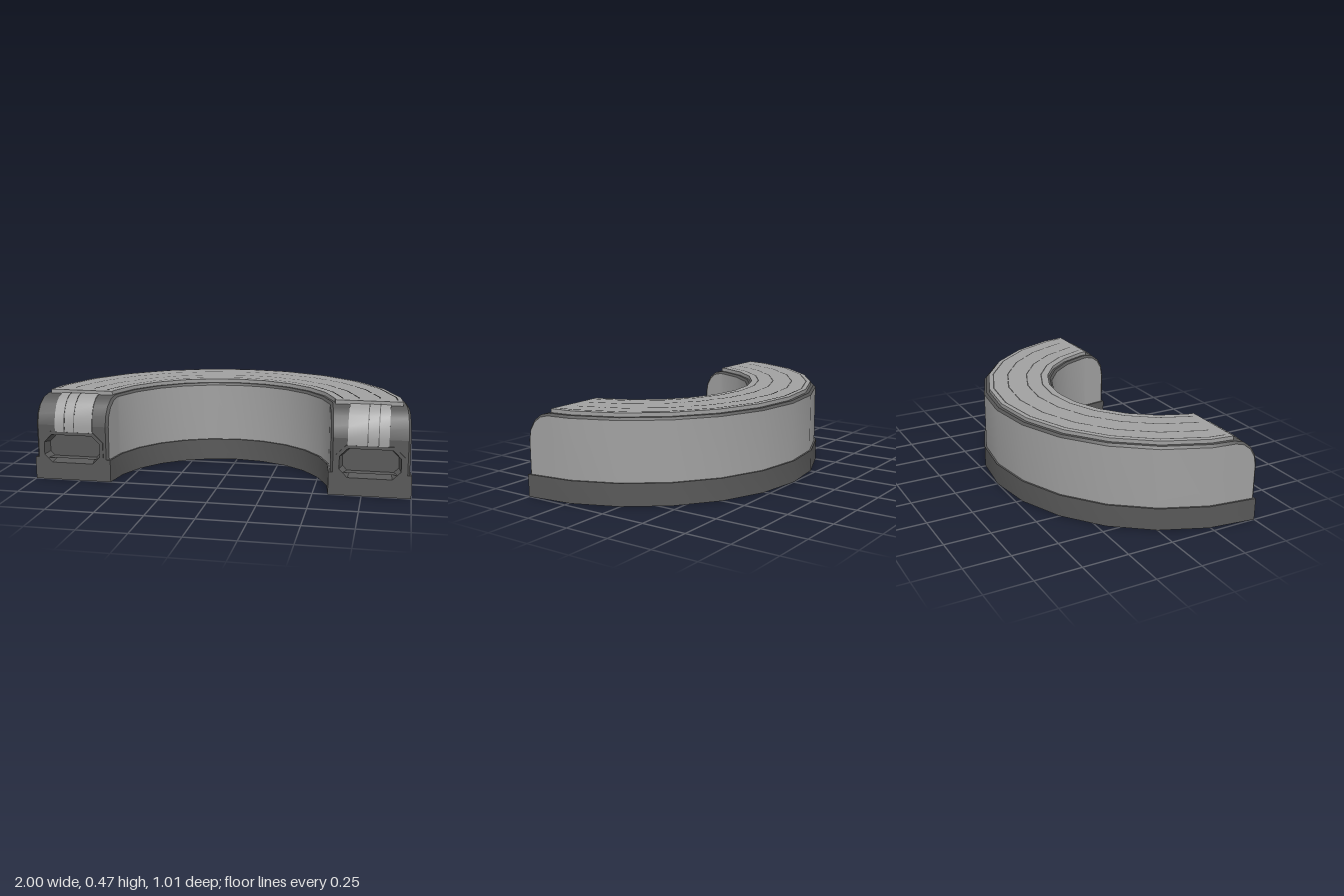
import * as THREE from 'three';
import { toCreasedNormals } from 'three/addons/utils/BufferGeometryUtils.js';

const mat = (name, color) => Object.assign(new THREE.MeshStandardMaterial({ color }), { name });
const STEP = Math.PI / 12;          // half ring made of twelve straight chords
const SLOPE = Math.tan(STEP / 2);   // inward lean of the first chord
const MID = 0.79;                   // middle of each end face

const V = (x, y, z) => new THREE.Vector3(x, y, z);
// Point on the ring at radius r and chord corner k
const atCorner = (k, r, y) => V(r * Math.cos(k * STEP), y, 0.5 - r * Math.sin(k * STEP));
// Point at depth d behind the right (s = -1) or left (s = 1) end face
const atEnd = (s, d, r, y) => V(s * (r - d * SLOPE), y, 0.5 - d);

// Skin over a list of equally long rows of points
function skin(rows) {
  const pos = [];
  for (let i = 0; i + 1 < rows.length; i++) {
    for (let j = 0; j + 1 < rows[i].length; j++) {
      const a = rows[i][j], b = rows[i + 1][j], c = rows[i][j + 1], d = rows[i + 1][j + 1];
      for (const p of [a, b, c, b, d, c]) pos.push(p.x, p.y, p.z);
    }
  }
  const g = new THREE.BufferGeometry();
  g.setAttribute('position', new THREE.Float32BufferAttribute(pos, 3));
  g.computeVertexNormals();
  return toCreasedNormals(g, 0.5);
}

// Rows for a constant [r, y] profile running between two end depths
function ringRows(profile, d) {
  const rows = [profile.map(([r, y]) => atEnd(1, d, r, y))];
  for (let k = 1; k < 12; k++) rows.push(profile.map(([r, y]) => atCorner(k, r, y)));
  rows.push(profile.map(([r, y]) => atEnd(-1, d, r, y)));
  return rows;
}

// Row collapsed to its middle, used to close an end
function collapse(row) {
  const c = V(0, 0, 0);
  const pts = row.slice(0, 4);
  pts.forEach((p) => c.addScaledVector(p, 1 / pts.length));
  return row.map(() => c);
}

// Rectangle with cut corners, counter-clockwise
function octagon(w, h, c) {
  const x = w / 2, y = h / 2;
  return [[x, c - y], [x, y - c], [x - c, y], [c - x, y], [-x, y - c], [-x, c - y], [c - x, -y], [x - c, -y]]
    .map(([a, b]) => new THREE.Vector2(a, b + 0.172));
}

export function createModel() {
  const model = new THREE.Group();
  const light = mat('light grey', 0xa0a0a0);
  const dark = mat('dark grey', 0x585858);
  const seam = mat('seam grey', 0x484848);
  const add = (name, geo, material, parent = model) => {
    const m = new THREE.Mesh(geo, material);
    m.name = name;
    parent.add(m);
    return m;
  };

  // Base band
  add('base', skin(ringRows([[1, 0], [1, 0.12], [0.97, 0.12], [0.61, 0.12], [0.58, 0.12], [0.58, 0], [1, 0]], 0)), dark);

  // Body: walls, chamfered rim and rounded-over ends
  const endRow = (s, phi, floor) => {
    const c = Math.cos(phi), n = Math.sin(phi);
    const dw = 0.13 - 0.118 * c, de = 0.13 - 0.13 * c;
    const yw = floor ? 0.12 : 0.3 + 0.138 * n, ye = floor ? 0.12 : 0.3 + 0.15 * n;
    return [[dw, 0.99, 0.12], [dw, 0.99, yw], [de, 0.978, ye], [de, 0.602, ye], [dw, 0.59, yw], [dw, 0.59, 0.12]]
      .map(([d, r, y]) => atEnd(s, d, r, y));
  };
  const phis = [0, 1, 2, 3, 4].map((i) => (i * Math.PI) / 8);
  const rows = [endRow(1, 0, true), ...phis.map((p) => endRow(1, p))];
  const full = [[0.99, 0.12], [0.99, 0.438], [0.978, 0.45], [0.602, 0.45], [0.59, 0.438], [0.59, 0.12]];
  for (let k = 1; k < 12; k++) rows.push(full.map(([r, y]) => atCorner(k, r, y)));
  rows.push(...phis.slice().reverse().map((p) => endRow(-1, p)), endRow(-1, 0, true));
  const cols = (list, a, b) => skin(list.map((r) => r.slice(a, b)));
  const main = rows.slice(1, -1);
  add('outerWall', cols(main, 0, 2), light);
  add('innerWall', cols(main, 4, 6), light);
  add('rim', cols(main, 1, 5), dark);
  for (const pair of [rows.slice(0, 2), rows.slice(-2)]) {
    add('endCornerOuter', cols(pair, 1, 3), dark);
    add('endCornerInner', cols(pair, 3, 5), dark);
  }

  // Raised top plate
  const plate = ringRows([[0.96, 0.445], [0.96, 0.47], [0.615, 0.47], [0.615, 0.445], [0.96, 0.445]], 0.125);
  add('topPlate', skin([collapse(plate[0]), ...plate, collapse(plate[plate.length - 1])]), light);

  // Seams on the plate: a border loop and two broken inner lines
  const Y = 0.4715, W = 0.004;
  for (const r of [0.935, 0.655]) add('borderSeam', skin(ringRows([[r + W, Y], [r - W, Y]], 0.155)), seam);
  for (const r of [0.85, 0.74]) {
    const line = ringRows([[r + W, Y], [r - W, Y]], 0.155);
    const mix = (a, b, t) => a.map((p, j) => p.clone().lerp(b[j], t));
    for (let k = 1; k < 12; k++) {
      add('brokenSeam', skin([mix(line[k - 1], line[k], 0.55), line[k], mix(line[k], line[k + 1], 0.45)]), seam);
    }
  }

  // End faces
  const hole = octagon(0.31, 0.152, 0.042);
  for (const s of [1, -1]) {
    const end = new THREE.Group();
    end.name = s > 0 ? 'leftEnd' : 'rightEnd';
    end.position.x = s * MID;
    model.add(end);

    const face = new THREE.Shape([[-0.21, 0], [0.21, 0], [0.21, 0.12], [0.188, 0.12], [0.188, 0.3],
      [-0.188, 0.3], [-0.188, 0.12], [-0.21, 0.12]].map(([x, y]) => new THREE.Vector2(x, y)));
    face.holes.push(new THREE.Path(hole));
    add('endFace', new THREE.ShapeGeometry(face), dark, end).position.z = 0.5;

    // Socket with a thin raised frame
    const frame = new THREE.Shape(octagon(0.346, 0.186, 0.052));
    frame.holes.push(new THREE.Path(hole));
    add('socketFrame', new THREE.ExtrudeGeometry(frame, { depth: 0.006, bevelEnabled: false }), dark, end).position.z = 0.5;
    const loop = (pts, z) => [...pts, pts[0]].reverse().map((p) => V(p.x, p.y, z));
    const back = loop(octagon(0.285, 0.127, 0.036), 0.45);
    add('socket', skin([loop(hole, 0.5), back, back.map(() => V(0, 0.172, 0.45))]), dark, end);

    // Light strip bending over the rounded end, with its seams
    const strip = (x0, x1, off) => {
      const [hi, lo] = [s * x0, s * x1].sort((a, b) => b - a).map((x) => x - s * MID);
      const curve = [[0, 0.265], ...phis.map((p) => [p, 0.3 + 0.15 * Math.sin(p)])];
      return skin(curve.map(([p, y]) => {
        const at = (x, o) => V(x, y + o * Math.sin(p), 0.37 + (0.13 + o) * Math.cos(p));
        return [at(hi, 0), at(hi, off), at(lo, off), at(lo, 0)];
      }));
    };
    add('endStrip', strip(0.675, 0.882, 0.005), light, end);
    for (const x of [0.775, 0.83]) add('stripSeam', strip(x - 0.002, x + 0.002, 0.0065), seam, end);
  }
  return model;
}
